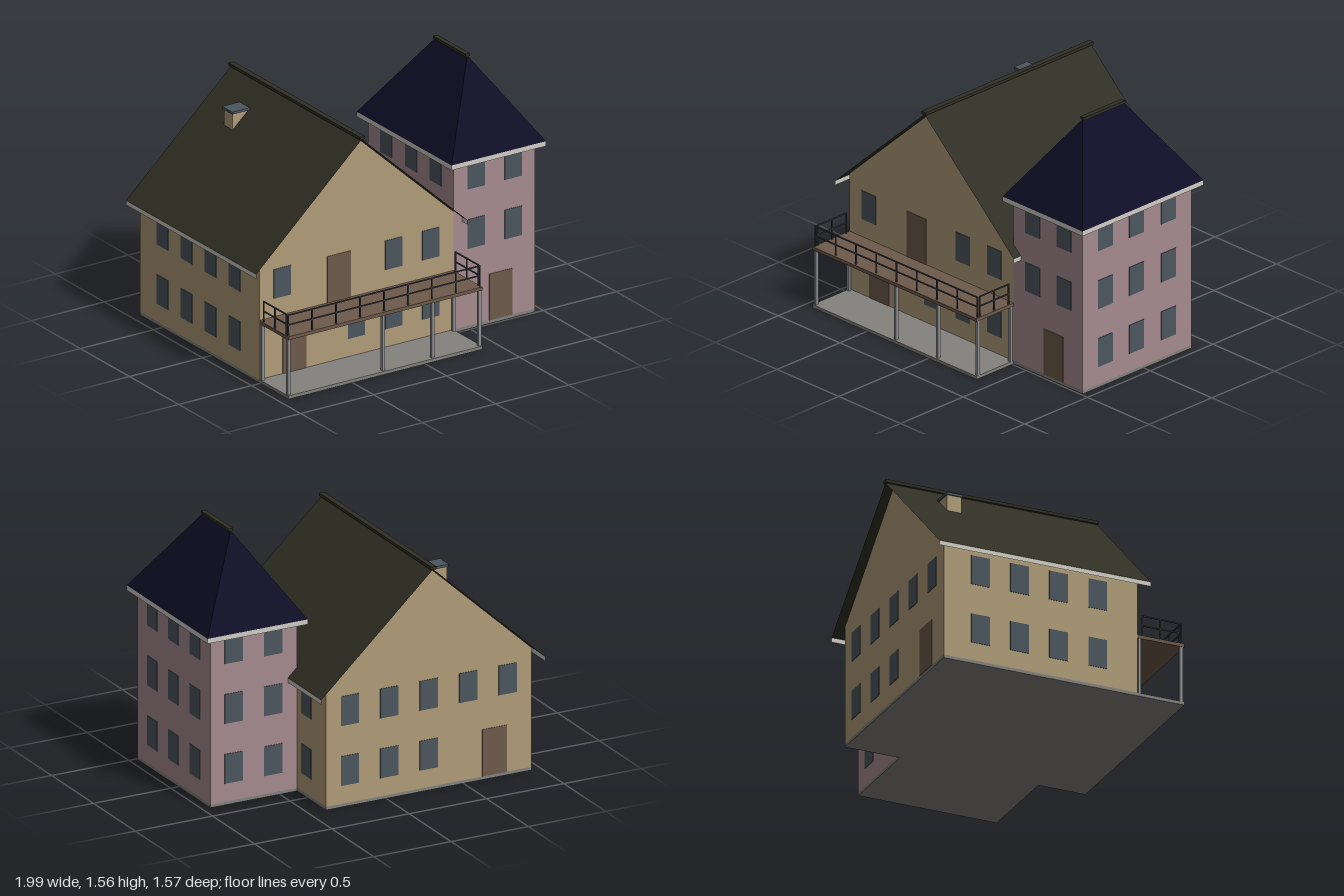
import * as THREE from 'three';

const mat = (name, color, side = THREE.FrontSide) => {
  const m = new THREE.MeshStandardMaterial({ color, side });
  m.name = name;
  return m;
};

export function createModel() {
  const M = {
    tan: mat('tanWall', 0xb09c78),
    pink: mat('pinkWall', 0xa68b90),
    roof: mat('oliveRoof', 0x302f24, THREE.DoubleSide),
    navy: mat('navyRoof', 0x0f0e26, THREE.DoubleSide),
    glass: mat('slateGlass', 0x4b565e),
    brown: mat('brownWood', 0x6e5a4b),
    trim: mat('paleTrim', 0xd0cdc5, THREE.DoubleSide),
    post: mat('greyPost', 0x909396),
    rail: mat('darkRail', 0x3c4044),
    slab: mat('greySlab', 0x83827e),
  };
  const model = new THREE.Group();
  model.name = 'houseWithTower';

  const add = (name, geo, material, parent = model) => {
    const mesh = new THREE.Mesh(geo, material);
    mesh.name = name;
    parent.add(mesh);
    return mesh;
  };
  const group = (name) => {
    const g = new THREE.Group();
    g.name = name;
    model.add(g);
    return g;
  };
  // Box given by its limits on each axis
  const box = (name, x0, x1, y0, y1, z0, z1, m, parent) => {
    const b = add(name, new THREE.BoxGeometry(x1 - x0, y1 - y0, z1 - z0), m, parent);
    b.position.set((x0 + x1) / 2, (y0 + y1) / 2, (z0 + z1) / 2);
    return b;
  };
  // Flat-shaded surface from quads and triangles, corners counter-clockwise
  const faces = (list) => {
    const pos = [];
    for (const f of list)
      for (let i = 1; i < f.length - 1; i++) pos.push(...f[0], ...f[i], ...f[i + 1]);
    const g = new THREE.BufferGeometry();
    g.setAttribute('position', new THREE.Float32BufferAttribute(pos, 3));
    g.computeVertexNormals();
    return g;
  };

  // Limits of the house and the tower
  const HL = -0.94, HR = 0.39, ZB = -0.725, ZF = 0.49, RX = -0.275;
  const TR = 0.95, TB = -0.38;

  // Ground slab
  box('houseSlab', HL, HR, 0, 0.02, ZB, 0.785, M.slab);
  box('towerSlab', HR, TR, 0, 0.02, TB, ZF, M.slab);

  // House walls with gables
  const gable = new THREE.Shape();
  gable.moveTo(HL, 0.02);
  gable.lineTo(HR, 0.02);
  gable.lineTo(HR, 0.747);
  gable.lineTo(RX, 1.358);
  gable.lineTo(HL, 0.747);
  gable.closePath();
  const walls = new THREE.ExtrudeGeometry(gable, { depth: ZF - ZB, bevelEnabled: false });
  add('houseWalls', walls, M.tan).position.z = ZB;

  // House roof: thin slopes, fascia strips and ridge cap
  const r0 = -0.78, r1 = 0.547, ridgeY = 1.365, eaveY = 0.7;
  const slopes = [], fascia = [];
  for (const s of [-1, 1]) {
    const x = RX + s * 0.724;
    const [a, b] = s > 0 ? [r1, r0] : [r0, r1];
    slopes.push([[x, eaveY, a], [x, eaveY, b], [RX, ridgeY, b], [RX, ridgeY, a]]);
    fascia.push([[x, 0.672, a], [x, 0.672, b], [x, eaveY, b], [x, eaveY, a]]);
  }
  add('houseRoof', faces(slopes), M.roof);
  add('houseFascia', faces(fascia), M.trim);
  box('houseRidge', RX - 0.017, RX + 0.017, 1.364, 1.382, -0.785, 0.552, M.roof);

  // Chimney
  box('chimney', -0.513, -0.407, 1.05, 1.245, -0.505, -0.415, M.tan);
  box('chimneyCap', -0.52, -0.4, 1.245, 1.26, -0.512, -0.408, M.glass);

  // Tower walls
  box('towerWalls', HR, TR, 0.02, 1.105, TB, ZF, M.pink);

  // Tower hip roof with a band around its eaves
  const a = 0.347, b = 0.995, c = -0.43, d = 0.535, e = 1.055, t = 1.547;
  const eave = [[a, d], [b, d], [b, c], [a, c]];
  const [p0, p1, p2, p3] = eave.map(([x, z]) => [x, e, z]);
  const front = [0.671, t, 0.215], back = [0.671, t, -0.107];
  add('towerRoof', faces([
    [p0, p1, front], [p1, p2, back, front], [p2, p3, back], [p3, p0, front, back],
  ]), M.navy);
  add('towerFascia', faces(eave.map(([x, z], i) => {
    const [u, w] = eave[(i + 1) % 4];
    return [[x, 1.025, z], [u, 1.025, w], [u, e, w], [x, e, z]];
  })), M.trim);
  box('towerRidge', 0.656, 0.686, 1.542, 1.56, -0.11, 0.218, M.roof);

  // Windows and doors: thin plates on a wall facing along z or x
  const openings = group('windowsAndDoors');
  const plate = (name, axis, wall, at, y0, y1, w, m) => {
    const [n0, n1] = [wall - 0.003, wall + 0.003];
    if (axis === 'z') box(name, at - w / 2, at + w / 2, y0, y1, n0, n1, m, openings);
    else box(name, n0, n1, y0, y1, at - w / 2, at + w / 2, m, openings);
  };
  const floors = [0.13, 0.495, 0.86];
  const windows = (axis, wall, ats, levels) => {
    for (const l of levels)
      for (const at of ats)
        plate('window', axis, wall, at, floors[l], floors[l] + 0.18, 0.117, M.glass);
  };
  const door = (wall, at, y0) => plate('door', 'z', wall, at, y0, y0 + 0.286, 0.16, M.brown);

  windows('z', ZF, [-0.275, -0.02, 0.235], [0]);
  windows('z', ZF, [-0.783, -0.02, 0.235], [1]);
  windows('z', ZB, [0.235, -0.02, -0.275], [0]);
  windows('z', ZB, [0.235, -0.02, -0.275, -0.53, -0.785], [1]);
  windows('x', HL, [-0.495, -0.25, -0.005, 0.24], [0, 1]);
  windows('x', HR, [-0.495], [0, 1]);
  windows('z', ZF, [0.545, 0.8], [1, 2]);
  windows('z', TB, [0.545, 0.8], [0, 1, 2]);
  windows('x', TR, [0.31, 0.06, -0.195], [0, 1, 2]);
  windows('x', HR, [0.31, 0.06, -0.195], [2]);
  door(ZF, -0.7, 0.02);
  door(ZF, -0.395, 0.384);
  door(ZF, 0.715, 0.02);
  door(ZB, -0.7, 0.02);

  // Balcony deck on posts
  const balcony = group('balcony');
  box('balconyDeck', HL, HR, 0.363, 0.384, ZF, 0.785, M.brown, balcony);
  const post = (x, z) =>
    box('balconyPost', x - 0.009, x + 0.009, 0.02, 0.363, z - 0.009, z + 0.009, M.post, balcony);
  for (const x of [-0.928, -0.28, 0.06, 0.38]) post(x, 0.767);
  for (const x of [-0.928, 0.38]) post(x, 0.506);

  // Balcony railing
  const railing = group('balconyRailing');
  const h = 0.0035;
  const bar = (x0, x1, y0, y1, z0, z1) =>
    box('railingBar', x0 - h, x1 + h, y0 - h, y1 + h, z0 - h, z1 + h, M.rail, railing);
  const xl = -0.932, xr = 0.383, zf = 0.77;
  for (let i = 0; i <= 8; i++) {
    const x = xl + ((xr - xl) * i) / 8;
    bar(x, x, 0.384, 0.51, zf, zf);
  }
  for (const y of [0.45, 0.51]) bar(xl, xr, y, y, zf, zf);
  for (const x of [xl, xr]) {
    for (const z of [0.523, 0.638, 0.753]) bar(x, x, 0.384, 0.51, z, z);
    for (const y of [0.45, 0.51]) bar(x, x, y, y, 0.523, 0.753);
  }

  return model;
}
